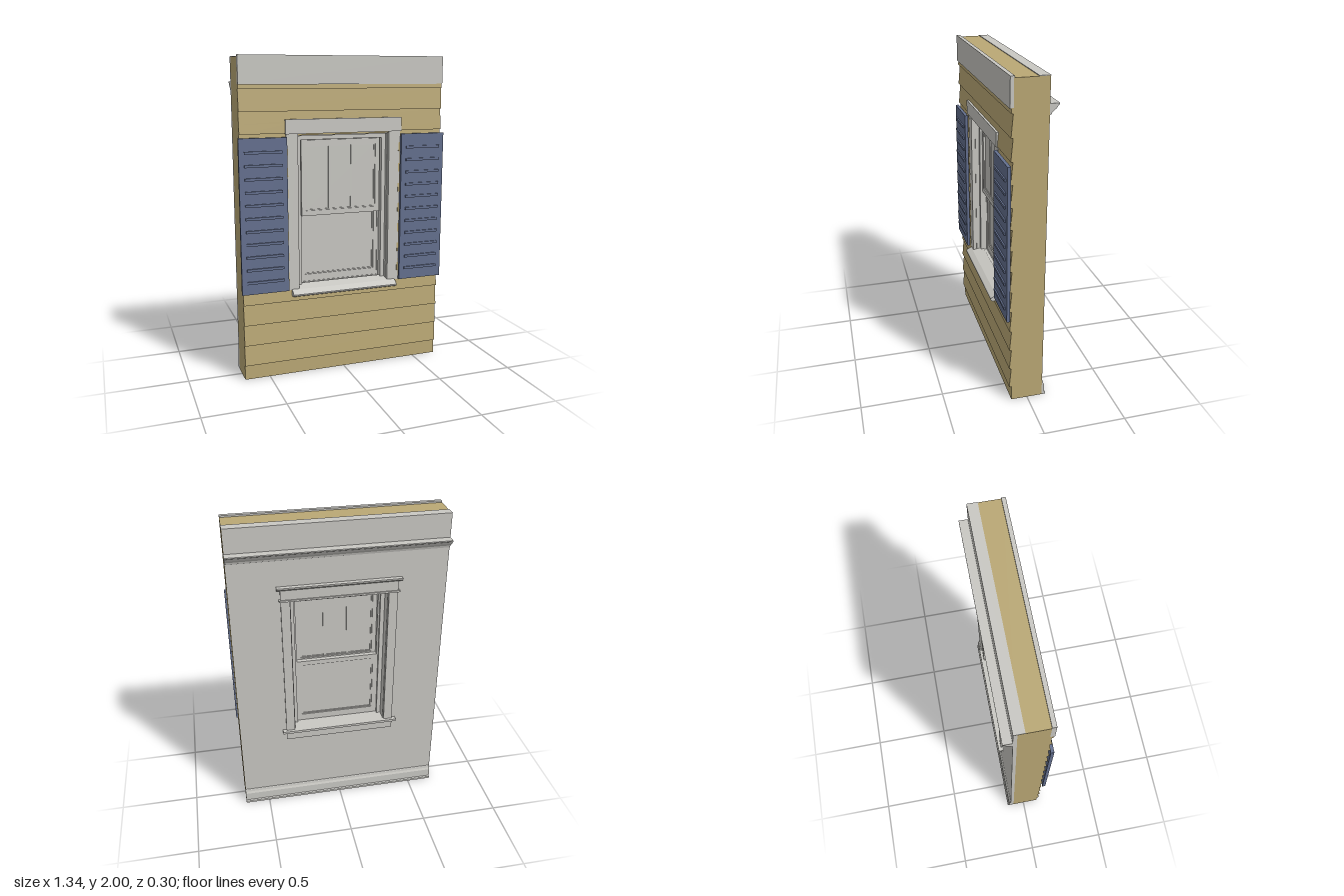
import * as THREE from 'three';

const siding = new THREE.MeshStandardMaterial({ color: 0xbaa875 });
siding.name = 'tan siding';
const trim = new THREE.MeshStandardMaterial({ color: 0xc9c8c3 });
trim.name = 'off-white trim';
const shutterBlue = new THREE.MeshStandardMaterial({ color: 0x64708f });
shutterBlue.name = 'shutter blue';

const W = 0.66; // half width of the wall

function add(parent, name, geometry, material) {
  const mesh = new THREE.Mesh(geometry, material);
  mesh.name = name;
  parent.add(mesh);
  return mesh;
}

// Box given by its limits on each axis
function box(parent, name, material, [x0, x1], [y0, y1], [z0, z1]) {
  const g = new THREE.BoxGeometry(x1 - x0, y1 - y0, z1 - z0);
  g.translate((x0 + x1) / 2, (y0 + y1) / 2, (z0 + z1) / 2);
  return add(parent, name, g, material);
}

// Moulding: a profile of [z, y] points run along x
function moulding(parent, name, material, points, x0, x1) {
  const shape = new THREE.Shape(points.map(([z, y]) => new THREE.Vector2(z, y)));
  const g = new THREE.ExtrudeGeometry(shape, { depth: x1 - x0, bevelEnabled: false });
  g.rotateY(-Math.PI / 2);
  g.translate(x1, 0, 0);
  return add(parent, name, g, material);
}

// Rectangular panel with a rectangular hole, both symmetric in x
function frame(parent, name, material, [ow, oy0, oy1], [iw, iy0, iy1], [z0, z1]) {
  const rect = (P, w, a, b) => {
    const p = new P();
    p.moveTo(-w, a).lineTo(w, a).lineTo(w, b).lineTo(-w, b).closePath();
    return p;
  };
  const shape = rect(THREE.Shape, ow, oy0, oy1);
  shape.holes.push(rect(THREE.Path, iw, iy0, iy1));
  const g = new THREE.ExtrudeGeometry(shape, { depth: z1 - z0, bevelEnabled: false });
  g.translate(0, 0, z0);
  return add(parent, name, g, material);
}

// Tapered lap boards between two heights
function lapBoards(parent, x0, x1, yLow, yHigh) {
  const pitch = 0.1315, first = 0.095, zTop = 0.102, zBottom = 0.114;
  for (let k = 0; k < 14; k++) {
    const base = first + k * pitch;
    const a = Math.max(base, yLow), b = Math.min(base + pitch, yHigh);
    if (b - a < 0.002) continue;
    const face = (y) => zBottom + (zTop - zBottom) * (y - base) / pitch;
    moulding(parent, 'lapBoard', siding, [[0.095, a], [face(a), a], [face(b), b], [0.095, b]], x0, x1);
  }
}

function buildWall(root) {
  const wall = new THREE.Group();
  wall.name = 'wall';
  root.add(wall);
  const hole = [0.305, 0.56, 1.527];
  frame(wall, 'wallCore', siding, [W, 0, 1.99], hole, [-0.075, 0.1]);
  frame(wall, 'interiorPanel', trim, [W - 0.003, 0, 1.99], hole, [-0.097, -0.075]);
  box(wall, 'panelEndCap', siding, [W - 0.003, W], [0, 1.99], [-0.096, -0.075]);
  box(wall, 'panelEndTrim', trim, [-W, -W + 0.003], [0, 1.99], [-0.097, -0.075]);
  box(wall, 'topPlate', trim, [-W, W], [1.989, 1.994], [-0.097, -0.035]);

  // Siding around the window
  lapBoards(wall, -W, W, 0, 0.56);
  lapBoards(wall, -W, -0.365, 0.56, 1.6);
  lapBoards(wall, 0.365, W, 0.56, 1.6);
  lapBoards(wall, -W, W, 1.6, 1.835);
  box(wall, 'friezeBoard', trim, [-W, W], [1.83, 2], [0.095, 0.12]);

  // Interior mouldings
  moulding(wall, 'crownMoulding', trim, [[-0.095, 1.785], [-0.095, 1.845], [-0.15, 1.845],
    [-0.15, 1.838], [-0.143, 1.834], [-0.133, 1.818], [-0.118, 1.806], [-0.108, 1.798], [-0.104, 1.785]], -W, W);
  moulding(wall, 'baseboard', trim, [[-0.095, 0], [-0.095, 0.105], [-0.1, 0.1], [-0.103, 0.085],
    [-0.109, 0.072], [-0.11, 0.018], [-0.117, 0.012], [-0.119, 0]], -W, W);
}

function buildSash(root, name, [y0, y1], [hw, h0, h1], [z0, z1]) {
  const sash = new THREE.Group();
  sash.name = name;
  root.add(sash);
  const mid = (z0 + z1) / 2;
  frame(sash, 'sashFrame', trim, [0.262, y0, y1], [hw, h0, h1], [z0, z1]);
  frame(sash, 'glazingBead', trim, [hw + 0.002, h0 - 0.002, h1 + 0.002],
    [hw - 0.008, h0 + 0.006, h1 - 0.006], [mid - 0.007, mid + 0.007]);
  box(sash, 'pane', trim, [-hw, hw], [h0, h1], [mid - 0.002, mid + 0.002]);
  return sash;
}

function buildWindow(root) {
  const win = new THREE.Group();
  win.name = 'window';
  root.add(win);

  // Jamb lining and sash stops
  frame(win, 'jambLining', trim, [0.306, 0.555, 1.529], [0.296, 0.565, 1.52], [-0.096, 0.085]);
  frame(win, 'sashStop', trim, [0.3, 0.56, 1.525], [0.27, 0.575, 1.495], [-0.03, 0.06]);
  frame(win, 'sashTrack', trim, [0.275, 0.57, 1.5], [0.26, 0.58, 1.488], [-0.012, 0.02]);

  // Sashes, the upper one outside the lower
  const upper = buildSash(win, 'upperSash', [1.015, 1.492], [0.233, 1.048, 1.455], [0.018, 0.046]);
  for (const x of [-0.075, 0.075]) {
    box(upper, 'muntin', trim, [x - 0.008, x + 0.008], [1.048, 1.455], [0.024, 0.041]);
  }
  buildSash(win, 'lowerSash', [0.575, 1.04], [0.237, 0.625, 1.01], [-0.012, 0.016]);

  // Exterior casing and sill
  for (const s of [-1, 1]) {
    const xs = [0.3 * s, 0.375 * s].sort((a, b) => a - b);
    box(win, 'exteriorCasing', trim, xs, [0.56, 1.537], [0.085, 0.109]);
  }
  box(win, 'exteriorHeader', trim, [-0.38, 0.38], [1.537, 1.625], [0.095, 0.12]);
  moulding(win, 'exteriorSill', trim, [[0.04, 0.56], [0.095, 0.525], [0.135, 0.522], [0.147, 0.528],
    [0.15, 0.538], [0.146, 0.546], [0.115, 0.563], [0.04, 0.58]], -0.298, 0.298);
  moulding(win, 'sillNosing', trim, [[0.095, 0.525], [0.135, 0.522], [0.147, 0.528],
    [0.15, 0.538], [0.146, 0.546], [0.115, 0.563], [0.095, 0.567]], -0.35, 0.35);

  // Interior casing, header, stool and apron
  for (const s of [-1, 1]) {
    const xs = [0.3 * s, 0.356 * s].sort((a, b) => a - b);
    box(win, 'interiorCasing', trim, xs, [0.57, 1.535], [-0.11, -0.095]);
  }
  box(win, 'interiorHeader', trim, [-0.357, 0.357], [1.527, 1.61], [-0.112, -0.095]);
  box(win, 'headerBead', trim, [-0.366, 0.366], [1.527, 1.538], [-0.119, -0.095]);
  moulding(win, 'headerCap', trim, [[-0.095, 1.6], [-0.095, 1.62], [-0.126, 1.62], [-0.126, 1.611],
    [-0.12, 1.606], [-0.114, 1.6]], -0.378, 0.378);
  box(win, 'interiorStool', trim, [-0.298, 0.298], [0.563, 0.58], [-0.1, -0.01]);
  box(win, 'stoolNosing', trim, [-0.38, 0.38], [0.565, 0.581], [-0.128, -0.095]);
  box(win, 'apron', trim, [-0.356, 0.356], [0.507, 0.566], [-0.11, -0.095]);
}

function buildShutter(root, side) {
  const shutter = new THREE.Group();
  shutter.name = side > 0 ? 'leftShutter' : 'rightShutter';
  shutter.position.x = side * 0.5225;
  root.add(shutter);
  box(shutter, 'shutterPanel', shutterBlue, [-0.148, 0.148], [0.565, 1.52], [0.115, 0.135]);
  for (let i = 0; i < 11; i++) {
    const y = 0.64 + i * 0.0795;
    box(shutter, 'louver', shutterBlue, [-0.116, 0.116], [y - 0.008, y + 0.008], [0.13, 0.144]);
  }
}

export function createModel() {
  const root = new THREE.Group();
  root.name = 'wallSectionWithWindow';
  buildWall(root);
  buildWindow(root);
  for (const side of [-1, 1]) buildShutter(root, side);
  return root;
}
